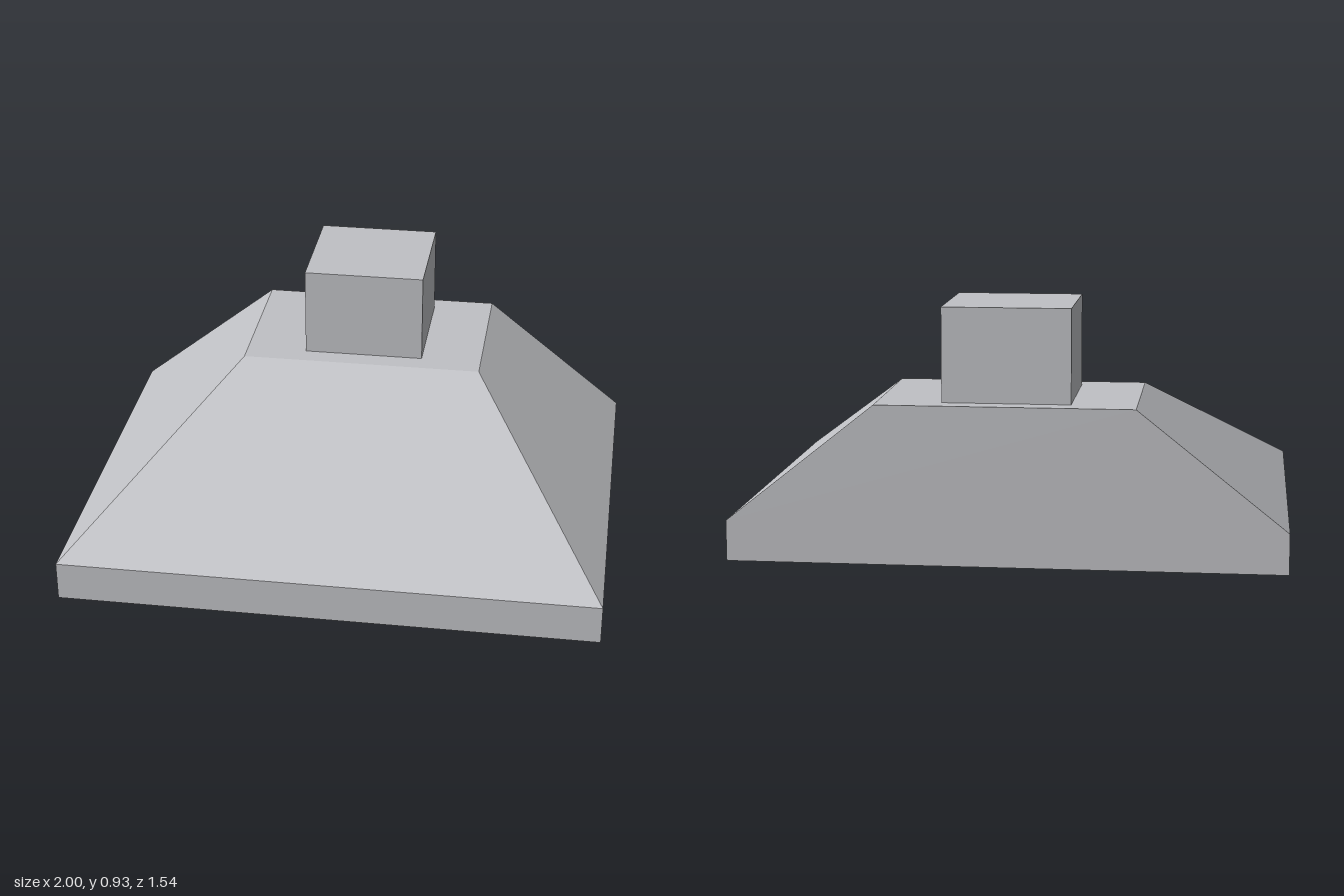
import * as THREE from 'three';

// Rectangular cross-section at height y: half width, back z, front z
const ring = (y, w, back, front) => [[-w, y, front], [w, y, front], [w, y, back], [-w, y, back]];

// Skin a stack of four-cornered sections, capped at both ends
function loft(sections) {
  const pos = [];
  const quad = (a, b, c, d) => pos.push(...a, ...b, ...c, ...a, ...c, ...d);
  for (let s = 0; s < sections.length - 1; s++) {
    const lo = sections[s], hi = sections[s + 1];
    for (let i = 0; i < 4; i++) {
      const j = (i + 1) % 4;
      quad(lo[i], lo[j], hi[j], hi[i]);
    }
  }
  const bottom = sections[0], top = sections[sections.length - 1];
  quad(...top);
  quad(bottom[3], bottom[2], bottom[1], bottom[0]);
  const geometry = new THREE.BufferGeometry();
  geometry.setAttribute('position', new THREE.Float32BufferAttribute(pos, 3));
  geometry.computeVertexNormals();
  return geometry;
}

export function createModel() {
  const group = new THREE.Group();
  group.name = 'rangeHood';

  const steel = new THREE.MeshStandardMaterial({ color: 0xc0c1c5 });
  steel.name = 'brushed steel';
  const filterGrey = new THREE.MeshStandardMaterial({ color: 0x8a8b8e });
  filterGrey.name = 'filter grey';

  const add = (name, geometry, material) => {
    const mesh = new THREE.Mesh(geometry, material);
    mesh.name = name;
    group.add(mesh);
    return mesh;
  };

  // Straight rim rising into a canopy that slopes back to a flat top; the back is vertical
  add('canopy', loft([
    ring(0.01, 1, -0.768, 0.768),
    ring(0.157, 1, -0.768, 0.768),
    ring(0.585, 0.462, -0.768, -0.154),
  ]), steel);

  // Square duct cover standing on the flat top
  add('chimney', new THREE.BoxGeometry(0.46, 0.34, 0.46), steel)
    .position.set(0, 0.755, -0.463);

  // Thin filter panel under the canopy
  add('filterPanel', new THREE.BoxGeometry(1.846, 0.009, 1.384), filterGrey)
    .position.set(0, 0.0045, 0);

  return group;
}
